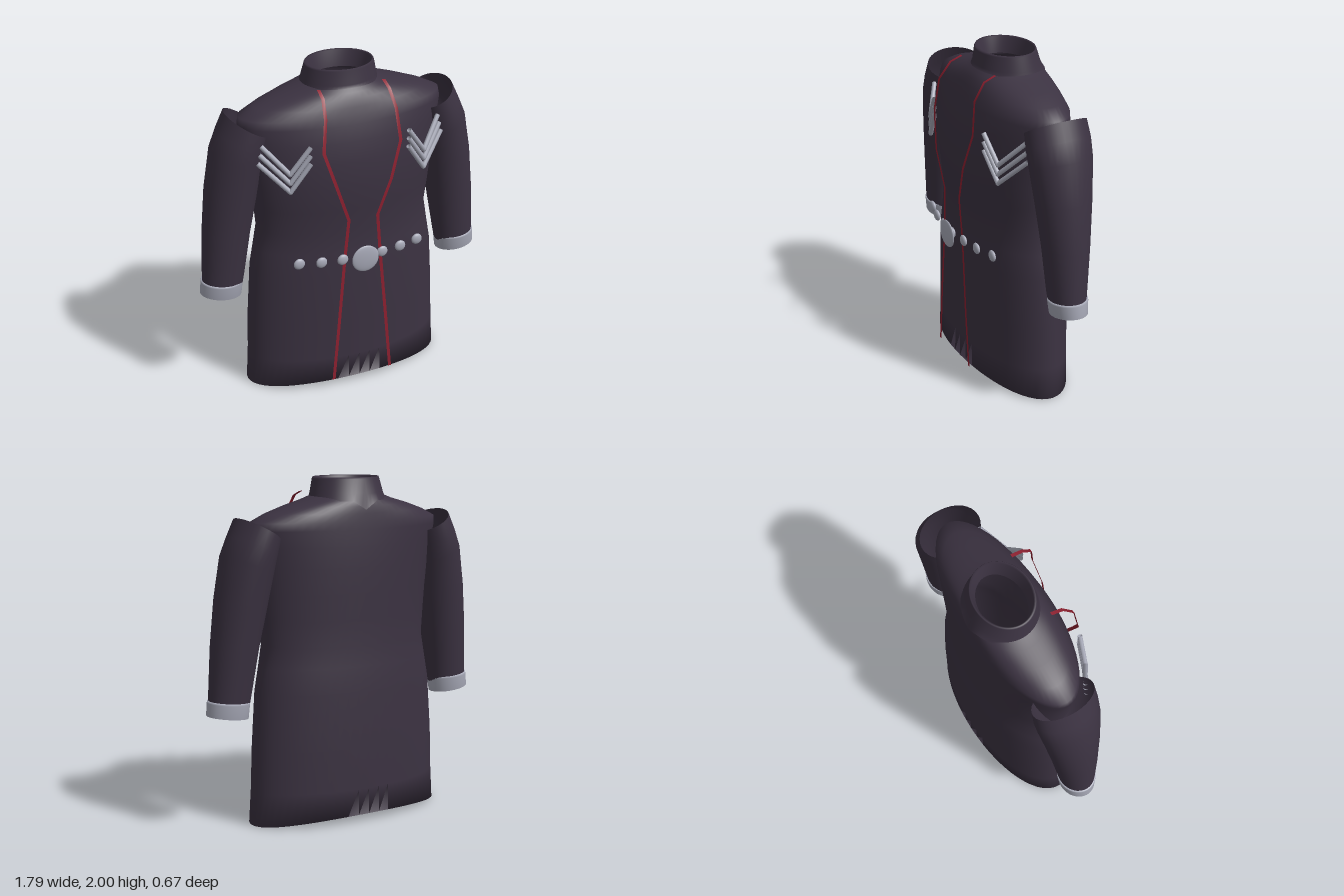
import * as THREE from 'three';

const mat = (name, color) => {
  const m = new THREE.MeshStandardMaterial({ color, side: THREE.DoubleSide });
  m.name = name;
  return m;
};

// Skin closed rings of points, listed from bottom to top
function loft(rings) {
  const n = rings[0].length, pos = [], idx = [];
  rings.forEach(r => r.forEach(p => pos.push(...p)));
  for (let i = 0; i < rings.length - 1; i++) {
    for (let j = 0; j < n; j++) {
      const k = (j + 1) % n, a = i * n, b = a + n;
      idx.push(a + j, b + j, a + k, a + k, b + j, b + k);
    }
  }
  const g = new THREE.BufferGeometry();
  g.setAttribute('position', new THREE.Float32BufferAttribute(pos, 3));
  g.setIndex(idx);
  g.computeVertexNormals();
  return g;
}

function ring(fn, n = 56) {
  return Array.from({ length: n }, (_, j) => {
    const t = (j / n) * Math.PI * 2;
    return fn(Math.cos(t), Math.sin(t));
  });
}

// Flat ellipse: height, half width, front z, back z, optional height rule
const level = ([y, w, zf, zb], rise = () => 0) =>
  ring((c, s) => [w * c, y + rise(c, s), (zf + zb) / 2 + s * (zf - zb) / 2]);

// Tilted ellipse of an arm: inner edge, outer edge, centre z, half depth
const armRing = (side, [xi, yi, xo, yo, zc, h]) =>
  ring((c, s) => [
    side * (xi + xo) / 2 + c * (xo - xi) / 2,
    (yi + yo) / 2 + side * c * (yo - yi) / 2,
    zc + h * s,
  ], 32);

// Ribbon of constant width in x along a path
function ribbon(path, width) {
  const pos = [], idx = [];
  path.forEach(([x, y, z], i) => {
    pos.push(x - width / 2, y, z, x + width / 2, y, z);
    if (i) {
      const a = 2 * i - 2;
      idx.push(a, a + 2, a + 1, a + 1, a + 2, a + 3);
    }
  });
  const g = new THREE.BufferGeometry();
  g.setAttribute('position', new THREE.Float32BufferAttribute(pos, 3));
  g.setIndex(idx);
  g.computeVertexNormals();
  return g;
}

// Round bar between two points
function bar(a, b, r) {
  const va = new THREE.Vector3(...a), vb = new THREE.Vector3(...b);
  return new THREE.TubeGeometry(new THREE.LineCurve3(va, vb), 1, r, 8);
}

export function createModel() {
  const model = new THREE.Group();
  const cloth = mat('dark cloth', 0x3b3241);
  const silver = mat('silver', 0xa6a8b6);
  const red = mat('red piping', 0x8e2030);
  const add = (name, geo, m, parent = model) => {
    const mesh = new THREE.Mesh(geo, m);
    mesh.name = name;
    parent.add(mesh);
    return mesh;
  };

  // Coat body, with turned-in hem that dips at the sides
  const hem = c => 0.045 * (1 - c * c);
  const body = [
    [0.2, 0.612, 0.245, -0.33], [0.45, 0.603, 0.243, -0.33],
    [0.78, 0.58, 0.24, -0.322], [0.92, 0.555, 0.23, -0.31],
    [1.05, 0.533, 0.225, -0.3], [1.2, 0.548, 0.24, -0.3],
    [1.35, 0.562, 0.25, -0.302], [1.5, 0.582, 0.243, -0.302],
    [1.62, 0.603, 0.225, -0.298], [1.71, 0.622, 0.2, -0.292],
    [1.755, 0.615, 0.185, -0.288], [1.8, 0.52, 0.168, -0.283],
    [1.84, 0.4, 0.15, -0.277], [1.87, 0.29, 0.13, -0.268],
    [1.895, 0.22, 0.105, -0.25],
  ].map(s => level(s));
  add('coatBody', loft([
    level([0.17, 0.595, 0.225, -0.31], hem),
    level([0, 0.625, 0.247, -0.33], hem),
    ...body,
  ]), cloth);

  // Standing collar with a small tab at the back
  const tab = (c, s) => 0.025 * Math.max(0, s) - (s < 0 ? 0.05 * Math.max(0, 1 - Math.abs(c) / 0.35) : 0);
  add('collar', loft([
    level([1.87, 0.232, 0.122, -0.287], tab),
    level([1.91, 0.222, 0.112, -0.26]),
    level([1.99, 0.204, 0.102, -0.234]),
    level([2, 0.199, 0.096, -0.23]),
    level([1.995, 0.19, 0.085, -0.22]),
    level([1.9, 0.172, 0.055, -0.2]),
  ]), cloth);

  // Sleeve sections and cuff sections, bottom to top
  const sleeve = [
    [0.645, 0.69, 0.882, 0.72, -0.037, 0.1],
    [0.628, 0.78, 0.878, 0.8, -0.037, 0.11],
    [0.582, 1.05, 0.862, 1.07, -0.042, 0.134],
    [0.535, 1.28, 0.832, 1.34, -0.046, 0.16],
    [0.5, 1.47, 0.785, 1.58, -0.05, 0.184],
    [0.48, 1.57, 0.738, 1.685, -0.052, 0.19],
    [0.46, 1.65, 0.69, 1.785, -0.052, 0.185],
  ];
  const cuff = [
    [0.665, 0.7, 0.878, 0.725, -0.04, 0.09],
    [0.655, 0.652, 0.89, 0.682, -0.04, 0.097],
    [0.648, 0.65, 0.896, 0.681, -0.04, 0.104],
    [0.638, 0.735, 0.888, 0.755, -0.038, 0.112],
    [0.64, 0.745, 0.885, 0.766, -0.038, 0.111],
    [0.655, 0.748, 0.865, 0.765, -0.038, 0.09],
  ];
  const piping = [
    [0.197, 1.912, 0.11], [0.2, 1.885, 0.18], [0.213, 1.79, 0.248],
    [0.234, 1.6, 0.272], [0.166, 1.38, 0.3], [0.09, 1.16, 0.287],
    [0.113, 0.9, 0.28], [0.153, 0.45, 0.286], [0.186, 0.08, 0.286],
  ];

  for (const side of [1, -1]) {
    const label = side > 0 ? 'left' : 'right';
    add(label + 'Sleeve', loft(sleeve.map(s => armRing(side, s))), cloth);
    add(label + 'Cuff', loft(cuff.map(s => armRing(side, s))), silver);
    add(label + 'Piping', ribbon(piping.map(([x, y, z]) => [side * x, y, z]), 0.02), red);

    // Three stacked chest chevrons
    const chevrons = new THREE.Group();
    chevrons.name = label + 'Chevrons';
    model.add(chevrons);
    for (let k = 0; k < 3; k++) {
      const drop = 0.05 * k;
      const tip = [side * 0.413, 1.48 - drop * 1.1, 0.212];
      add('chevronInnerArm', bar([side * 0.3, 1.635 - drop, 0.24], tip, 0.014), silver, chevrons);
      add('chevronOuterArm', bar([side * (0.545 + 0.012 * k), 1.635 - drop, 0.115], tip, 0.014), silver, chevrons);
      const joint = add('chevronTip', new THREE.SphereGeometry(0.014, 8, 6), silver, chevrons);
      joint.position.set(...tip);
    }

    // Waist buttons
    [[0.125, 0.28], [0.25, 0.262], [0.375, 0.228]].forEach(([x, z]) => {
      const b = add('button', new THREE.SphereGeometry(0.034, 20, 12), silver);
      b.scale.z = 0.45;
      b.position.set(side * x, 0.905, z);
    });
  }

  // Central clasp: domed disc on a small stud
  const disc = add('clasp', new THREE.SphereGeometry(0.084, 32, 16), silver);
  disc.scale.z = 0.17;
  disc.position.set(0, 0.907, 0.322);
  const stud = add('claspStud', new THREE.SphereGeometry(0.034, 20, 12), silver);
  stud.scale.z = 0.45;
  stud.position.set(0, 0.905, 0.29);

  return model;
}
